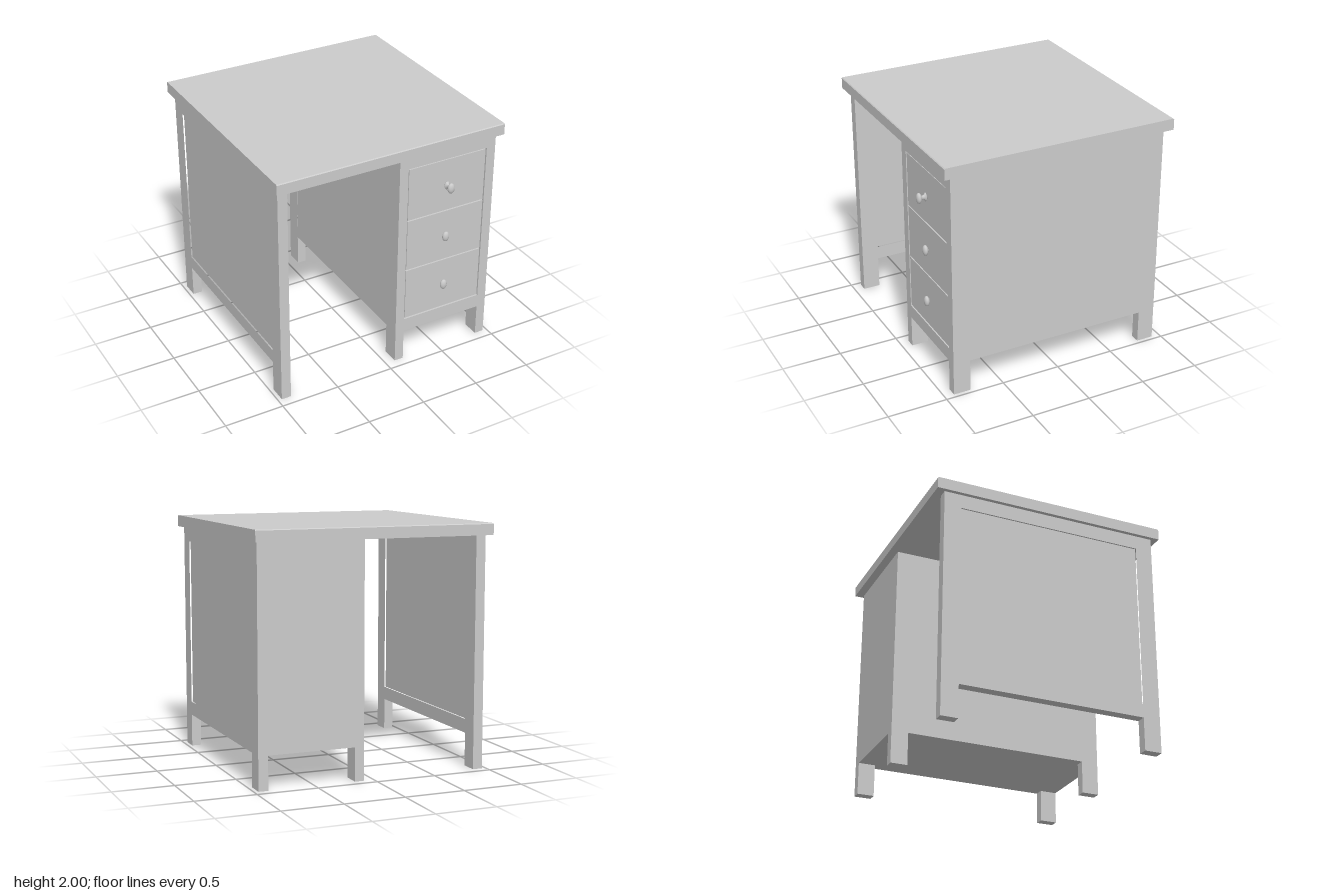
import * as THREE from 'three';

const material = new THREE.MeshStandardMaterial({ color: 0xcccccc });

// Main dimensions
const FRONT = 0.92, BACK = -0.93;          // depth of the carcass
const RAIL = 0.275, UNDER_TOP = 1.905;     // underside of rails, underside of desktop
const OPEN_LOW = 0.39, OPEN_HIGH = 1.787;  // panel and drawer opening
const PANEL_FRONT = 0.775, PANEL_BACK = -0.787;
const INNER = 0.163, OUTER = 0.885;        // drawer opening in x

function addMesh(parent, name, geometry) {
  const mesh = new THREE.Mesh(geometry, material);
  mesh.name = name;
  parent.add(mesh);
  return mesh;
}

// Box given by its limits on each axis
function block(parent, name, x0, x1, y0, y1, z0, z1) {
  const mesh = addMesh(parent, name, new THREE.BoxGeometry(x1 - x0, y1 - y0, z1 - z0));
  mesh.position.set((x0 + x1) / 2, (y0 + y1) / 2, (z0 + z1) / 2);
  return mesh;
}

// Extrudes a [z, y] outline along x from x0 to x1
function extrudeAcross(outline, hole, x0, x1) {
  const toPoints = (list) => list.map(([z, y]) => new THREE.Vector2(-z, y));
  const shape = new THREE.Shape(toPoints(outline));
  if (hole) shape.holes.push(new THREE.Path(toPoints(hole)));
  const geometry = new THREE.ExtrudeGeometry(shape, { depth: x1 - x0, bevelEnabled: false });
  return geometry.rotateY(Math.PI / 2).translate(x0, 0, 0);
}

// Framed side with two legs and a recessed panel
function createSide(name, x0, x1) {
  const side = new THREE.Group();
  side.name = name;
  const outline = [
    [FRONT, 0], [FRONT, UNDER_TOP], [BACK, UNDER_TOP], [BACK, 0],
    [PANEL_BACK, 0], [PANEL_BACK, RAIL], [PANEL_FRONT, RAIL], [PANEL_FRONT, 0],
  ];
  const hole = [
    [PANEL_FRONT, OPEN_LOW], [PANEL_FRONT, OPEN_HIGH],
    [PANEL_BACK, OPEN_HIGH], [PANEL_BACK, OPEN_LOW],
  ];
  addMesh(side, 'sideFrame', extrudeAcross(outline, hole, x0, x1));
  const recess = 0.012;
  block(side, 'sidePanel', x0 + recess, x1 - recess, OPEN_LOW, OPEN_HIGH, PANEL_BACK, PANEL_FRONT);
  return side;
}

// Oval turned knob with a base flange, neck and domed head
function createKnob() {
  const profile = [
    [0, 0], [0.034, 0], [0.036, 0.006], [0.03, 0.012], [0.019, 0.018],
    [0.017, 0.03], [0.02, 0.041], [0.034, 0.046], [0.043, 0.053],
    [0.045, 0.061], [0.041, 0.07], [0.028, 0.077], [0.014, 0.08], [0, 0.081],
  ].map(([r, h]) => new THREE.Vector2(r, h));
  const geometry = new THREE.LatheGeometry(profile, 28).rotateX(Math.PI / 2);
  const knob = new THREE.Mesh(geometry, material);
  knob.name = 'knob';
  knob.scale.x = 0.67;
  return knob;
}

export function createModel() {
  const desk = new THREE.Group();
  desk.name = 'desk';

  // Desktop with slightly eased front and back edges
  const ease = 0.007;
  addMesh(desk, 'desktop', extrudeAcross([
    [0.98, UNDER_TOP], [0.98, 2 - ease], [0.98 - ease, 2],
    [-1 + ease, 2], [-1, 2 - ease], [-1, UNDER_TOP],
  ], null, -1, 1));

  // Three framed sides
  desk.add(createSide('endSupport', -0.967, -0.885));
  desk.add(createSide('pedestalInnerSide', 0.085, INNER));
  desk.add(createSide('pedestalOuterSide', OUTER, 0.965));

  // Pedestal body and front rails
  const pedestal = new THREE.Group();
  pedestal.name = 'pedestal';
  desk.add(pedestal);
  block(pedestal, 'pedestalBody', INNER, OUTER, RAIL, UNDER_TOP, BACK, 0.9);
  block(pedestal, 'bottomRail', INNER, OUTER, RAIL, OPEN_LOW, 0.9, FRONT);
  block(pedestal, 'topRail', INNER, OUTER, OPEN_HIGH, UNDER_TOP, 0.9, FRONT);

  // Drawers; the upper knob stands out, the lower two sit close to the front
  const drawers = [
    { low: 0.4, high: 0.852, knobY: 0.628, knobZ: 0.877 },
    { low: 0.863, high: 1.312, knobY: 1.087, knobZ: 0.877 },
    { low: 1.323, high: 1.777, knobY: 1.55, knobZ: 0.918 },
  ];
  for (const { low, high, knobY, knobZ } of drawers) {
    const drawer = new THREE.Group();
    drawer.name = 'drawer';
    block(drawer, 'drawerFront', INNER + 0.008, OUTER - 0.008, low, high, 0.89, 0.916);
    const knob = createKnob();
    knob.position.set(0.523, knobY, knobZ);
    drawer.add(knob);
    desk.add(drawer);
  }

  return desk;
}
